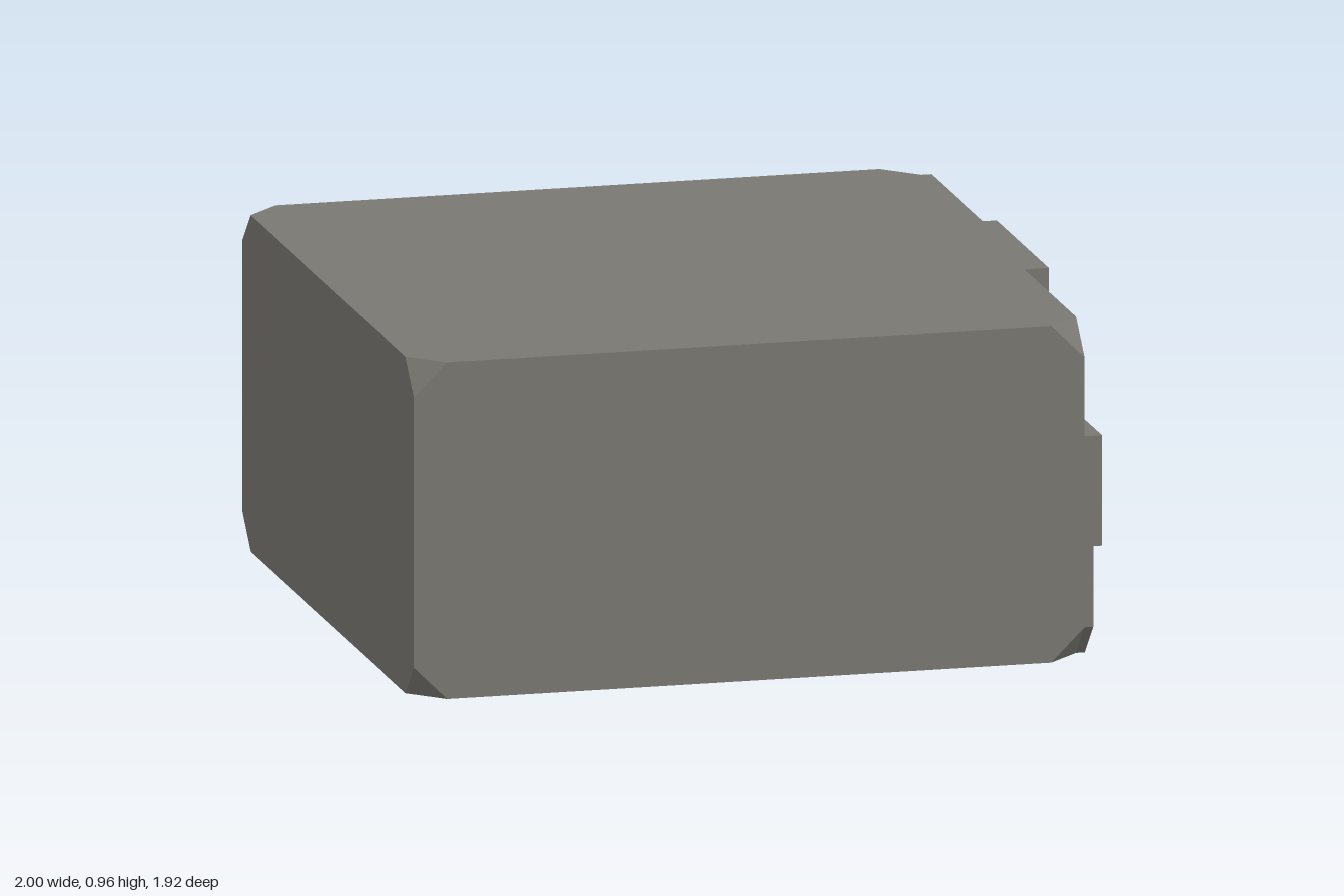
import * as THREE from 'three';
import { ConvexGeometry } from 'three/addons/geometries/ConvexGeometry.js';

const CUT = 0.095; // size of the clipped corners
const LEFT = -1, FACE = 0.92, TOP = 0.96, DEPTH = 0.96;

// Block with its eight corners clipped off
function bodyGeometry() {
  const points = [];
  for (const sx of [-1, 1]) for (const sy of [-1, 1]) for (const sz of [-1, 1]) {
    const corner = new THREE.Vector3(sx < 0 ? LEFT : FACE, sy < 0 ? 0 : TOP, sz * DEPTH);
    points.push(corner.clone().setX(corner.x - sx * CUT));
    points.push(corner.clone().setY(corner.y - sy * CUT));
    points.push(corner.clone().setZ(corner.z - sz * CUT));
  }
  return new ConvexGeometry(points);
}

// Brick raised from the +x face; corners that meet the block's corners are clipped
function brickGeometry(z0, z1, y0, y1, reach) {
  const pts = [];
  for (const [z, y, first] of [[z1, y0, 'y'], [z0, y0, 'z'], [z0, y1, 'y'], [z1, y1, 'z']]) {
    const onCorner = Math.abs(z) === DEPTH && (y === 0 || y === TOP);
    if (!onCorner) { pts.push(new THREE.Vector2(-z, y)); continue; }
    const alongY = new THREE.Vector2(-z, y === 0 ? CUT : TOP - CUT);
    const alongZ = new THREE.Vector2(-z + Math.sign(z) * CUT, y);
    pts.push(...(first === 'y' ? [alongY, alongZ] : [alongZ, alongY]));
  }
  const geometry = new THREE.ExtrudeGeometry(new THREE.Shape(pts), {
    depth: reach - FACE, bevelEnabled: false,
  });
  return geometry.rotateY(Math.PI / 2).translate(FACE, 0, 0);
}

export function createModel() {
  const group = new THREE.Group();
  group.name = 'stoneBlock';
  const stone = new THREE.MeshStandardMaterial({ color: 0x787771 });
  stone.name = 'grey stone';

  const add = (name, geometry) => {
    const mesh = new THREE.Mesh(geometry, stone);
    mesh.name = name;
    group.add(mesh);
  };

  add('block', bodyGeometry());

  // Bricks: name, z range, y range, how far out they reach
  const bricks = [
    ['upperMiddleBrick', -0.29, 0.29, 0.645, TOP, 0.99],
    ['upperBackBrick', -DEPTH, -0.29, 0.645, TOP, 0.95],
    ['middleFrontBrick', 0.29, DEPTH, 0.325, 0.64, 0.97],
    ['lowerFrontBrick', 0.29, DEPTH, 0, 0.325, 0.945],
    ['lowerBackBrick', -DEPTH, -0.29, 0, 0.325, 1],
  ];
  for (const [name, ...size] of bricks) add(name, brickGeometry(...size));

  return group;
}
